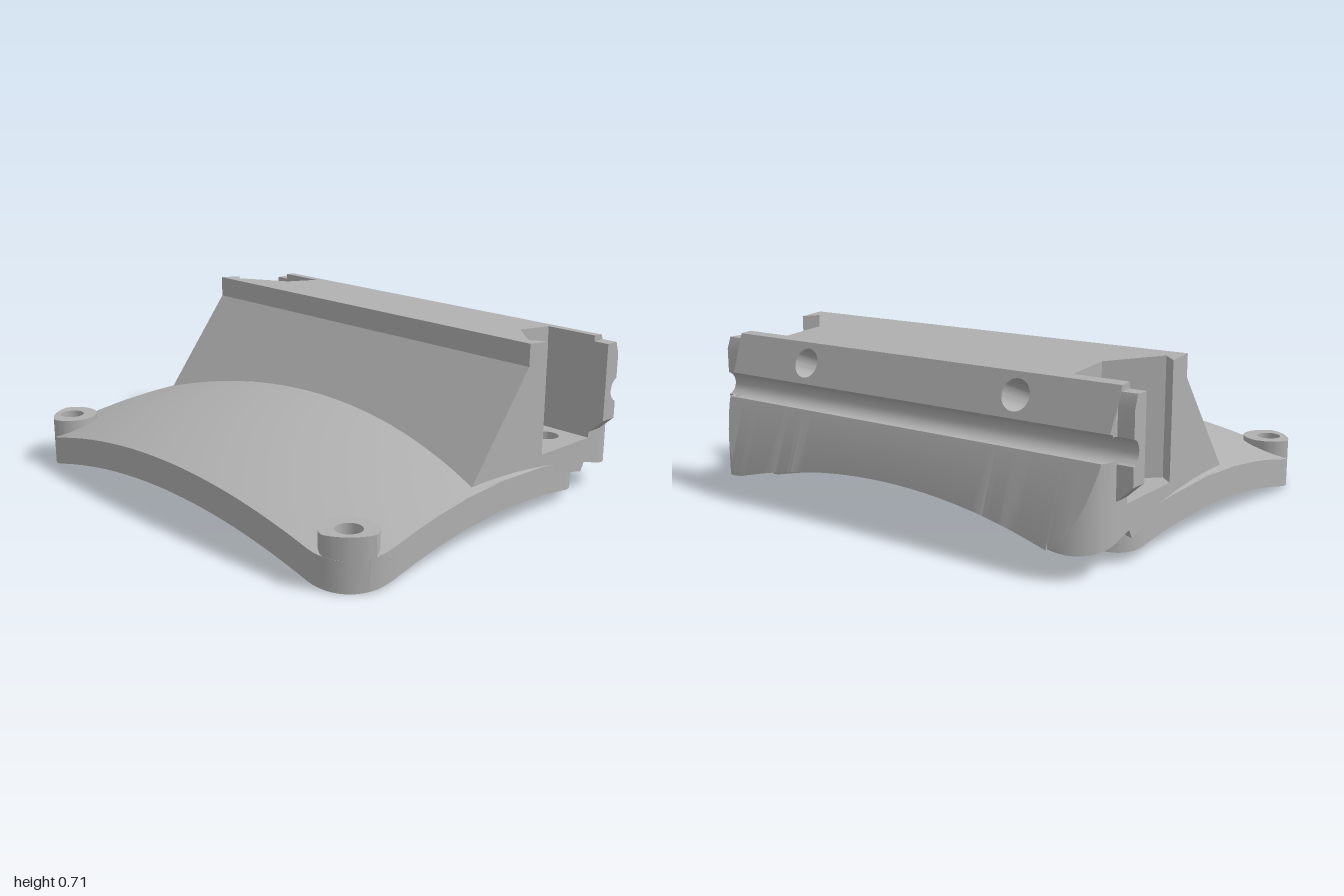
import * as THREE from 'three';
import { toCreasedNormals } from 'three/addons/utils/BufferGeometryUtils.js';

const HOLE_R = 0.05;
const BACK_HOLE = [0.8, -0.5], FRONT_HOLE = [0.89, 0.715];
const clamp = THREE.MathUtils.clamp;

// Saddle dome height
const dome = (x, z) => 0.345 - 0.155 * x * x - 0.11 * ((z - 0.06) / 0.77) ** 2;
// Half chord of a circle of radius r at offset d
const chord = (d, r) => Math.sqrt(Math.max(0, r * r - d * d));

// x stations
const range = (a, b, n) => Array.from({ length: n + 1 }, (_, i) => a + (b - a) * i / n);
const across = (c, r, n = 16) => range(0, Math.PI, n).map(t => c - r * Math.cos(t));
const corner = (c, r, n = 12) => range(0, Math.PI / 2, n).map(t => c + r * Math.sin(t));
const stations = (...lists) => [...new Set(lists.flat().map(v => +v.toFixed(5)))].sort((a, b) => a - b);
const mirror = xs => xs.map(x => -x).reverse();

// Skin closed (z, y) sections along ascending x, with end caps
function loft(out, section, xs) {
  const rings = xs.map(x => section(x).map(([z, y]) => new THREE.Vector3(x, y, z)));
  const tri = (a, b, c) => {
    const area = b.clone().sub(a).cross(c.clone().sub(a)).length();
    if (area > 1e-9) out.push(...a.toArray(), ...b.toArray(), ...c.toArray());
  };
  for (let i = 0; i + 1 < rings.length; i++) {
    const p = rings[i], q = rings[i + 1];
    for (let j = 0; j < p.length; j++) {
      const k = (j + 1) % p.length;
      tri(p[j], q[j], q[k]);
      tri(p[j], q[k], p[k]);
    }
  }
  [[rings[0], 1], [rings[rings.length - 1], -1]].forEach(([ring, sign]) => {
    const flat = ring.map(v => new THREE.Vector2(v.z, v.y));
    for (const [a, b, c] of THREE.ShapeUtils.triangulateShape(flat, [])) {
      const area = flat[b].clone().sub(flat[a]).cross(flat[c].clone().sub(flat[a]));
      if (area * sign > 0) tri(ring[a], ring[b], ring[c]);
      else tri(ring[a], ring[c], ring[b]);
    }
  });
}

function meshFrom(name, positions, material) {
  const g = new THREE.BufferGeometry();
  g.setAttribute('position', new THREE.Float32BufferAttribute(positions, 3));
  const mesh = new THREE.Mesh(toCreasedNormals(g, 0.5), material);
  mesh.name = name;
  return mesh;
}

// Plan outline of the base plate
const plateBack = a => a < 0.78 ? -0.6 : a < 0.93 ? -0.45 - chord(a - 0.78, 0.15) : -0.45 + (a - 0.93) * 15;
const plateFront = a => a < 0.8 ? 0.83 : 0.63 + chord(a - 0.8, 0.2);

// Base plate in three bands, which part around the screw holes
function basePlate(material) {
  const out = [];
  const half = stations(range(0, 0.75, 15), across(BACK_HOLE[0], HOLE_R), across(FRONT_HOLE[0], HOLE_R),
    corner(0.78, 0.15), corner(0.8, 0.2));
  const xs = stations(mirror(half), half);
  const top = (x, z) => dome(x, z) - (z < -0.05 && z > -0.58 && Math.abs(x) < 0.9 ? 0.03 : 0);
  const edges = x => {
    const a = Math.abs(x), lo = plateBack(a), hi = Math.max(lo, plateFront(a));
    const hb = chord(a - BACK_HOLE[0], HOLE_R), hf = chord(a - FRONT_HOLE[0], HOLE_R);
    return [lo, BACK_HOLE[1] - hb, BACK_HOLE[1] + hb, FRONT_HOLE[1] - hf, FRONT_HOLE[1] + hf, hi]
      .map(z => clamp(z, lo, hi));
  };
  [[0, 3], [2, 20], [4, 3]].forEach(([e, n]) => loft(out, x => {
    const ed = edges(x), zs = range(ed[e], ed[e + 1], n);
    return [...[...zs].reverse().map(z => [z, top(x, z)]), ...zs.map(z => [z, dome(x, z) - 0.12])];
  }, xs));
  return meshFrom('basePlate', out, material);
}

// Raised screw boss trimmed to the plate outline
function screwBoss(side, material) {
  const [cx, cz] = FRONT_HOLE;
  const pts = range(0, Math.PI * 2, 64).slice(0, -1).map(t => {
    let r = 0.107;
    while (r > 0.06 && (cx + r * Math.cos(t) > 0.999 ||
      cz + r * Math.sin(t) > plateFront(cx + r * Math.cos(t)))) r -= 0.001;
    return new THREE.Vector2(side * (cx + r * Math.cos(t)), -(cz + r * Math.sin(t)));
  });
  const shape = new THREE.Shape(pts);
  shape.holes.push(new THREE.Path().absarc(side * cx, -cz, HOLE_R, 0, Math.PI * 2));
  const g = new THREE.ExtrudeGeometry(shape, { depth: 0.14, bevelEnabled: false, curveSegments: 32 });
  g.rotateX(-Math.PI / 2).translate(0, 0.06, 0);
  const mesh = new THREE.Mesh(toCreasedNormals(g, 0.5), material);
  mesh.name = side > 0 ? 'leftScrewBoss' : 'rightScrewBoss';
  return mesh;
}

// Rail groove arc shared by bracket and ears
const groove = (from, to) => range(from, to, 14).map(t => [-0.69 + 0.05 * Math.cos(t), 0.44 + 0.05 * Math.sin(t)]);
const topY = z => 0.7 + (z + 0.18) * 0.085;
const FLOOR = 0.235;

// Sloped front of the bracket section
function frontPoints(x) {
  const y = dome(x, 0.08) - 0.04;
  return [[0.13 - (y - 0.21) * 0.775, y], [-0.18, 0.61], [-0.18, 0.7]];
}

// Back of the bracket section: lip with bolt hole, groove, and flange
function backPoints(x) {
  const a = Math.abs(x);
  const limit = a < 0.765 ? -0.9 : -0.67 - chord(a - 0.765, 0.17);
  const h = chord(a - 0.52, 0.06), depth = h > 1e-4 ? 0.2 : 0;
  const lip = (s, d) => [-0.68 - 0.351 * s + 0.936 * d, 0.58 - 0.936 * s - 0.351 * d];
  let z = -0.8;
  for (let i = 0; i < 6; i++) z = -0.745 - 0.34 * (0.405 - dome(x, z));
  z = Math.max(z, limit);
  const y = Math.min(0.405, 0.405 + (0.745 + z) / 0.34);
  const mid = (z - 0.58) / 2;
  return [[-0.65, 0.66], lip(-h, 0), lip(-h, depth), lip(h, depth), lip(h, 0), [-0.71, 0.5],
    ...groove(1.7, -1.85), [-0.745, 0.405], [z, y], [z, dome(x, z)], [mid, dome(x, mid)],
    [-0.58, dome(x, -0.58)], [-0.56, dome(x, -0.56) - 0.04]].map(p => [Math.max(p[0], limit), p[1]]);
}

function bracket(material) {
  const out = [];
  const under = x => [-0.3, -0.1].map(z => [z, dome(x, z) - 0.04]);
  // Solid middle
  const bolt = across(0.52, 0.06, 20);
  loft(out, x => [...frontPoints(x), ...backPoints(x), ...under(x)],
    stations(range(-0.71, 0.71, 20), bolt, mirror(bolt)));
  // Pocketed ends, divided at the screw hole
  const ends = stations(range(0.71, 0.75, 2), across(BACK_HOLE[0], HOLE_R), corner(0.765, 0.17, 16), [0.88]);
  const hole = x => chord(Math.abs(x) - BACK_HOLE[0], HOLE_R);
  const pocketFront = a => a < 0.88 ? -0.41 + (a - 0.71) : -0.24 - (a - 0.88) * 0.91;
  [ends, mirror(ends)].forEach(xs => {
    loft(out, x => {
      const p = pocketFront(Math.abs(x)), z = BACK_HOLE[1] + hole(x);
      return [...frontPoints(x), [p, topY(p)], [p, FLOOR], [z, FLOOR], [z, dome(x, z) - 0.04], ...under(x)];
    }, xs);
    loft(out, x => {
      const z = BACK_HOLE[1] - hole(x);
      return [[z, dome(x, z) - 0.04], [z, FLOOR], [-0.6, FLOOR], [-0.6, topY(-0.6)], ...backPoints(x)];
    }, xs);
  });
  return meshFrom('bracket', out, material);
}

// Side ear with chamfered foot
function ear(side, material) {
  const out = [], xs = [0.93, 0.935, 1];
  loft(out, x => {
    const foot = 0.26 + Math.max(0, Math.abs(x) - 0.935) * 0.92;
    return [[-0.6, foot], [-0.6, 0.64], [-0.657, 0.64], [-0.675, 0.59], ...groove(1.266, -1.266), [-0.675, foot]];
  }, side > 0 ? xs : mirror(xs));
  return meshFrom(side > 0 ? 'leftEar' : 'rightEar', out, material);
}

export function createModel() {
  const grey = new THREE.MeshStandardMaterial({ color: 0xb0b0b0 });
  grey.name = 'grey';
  const model = new THREE.Group();
  model.name = 'saddleMount';
  model.add(basePlate(grey), bracket(grey));
  for (const side of [1, -1]) model.add(screwBoss(side, grey), ear(side, grey));
  return model;
}
